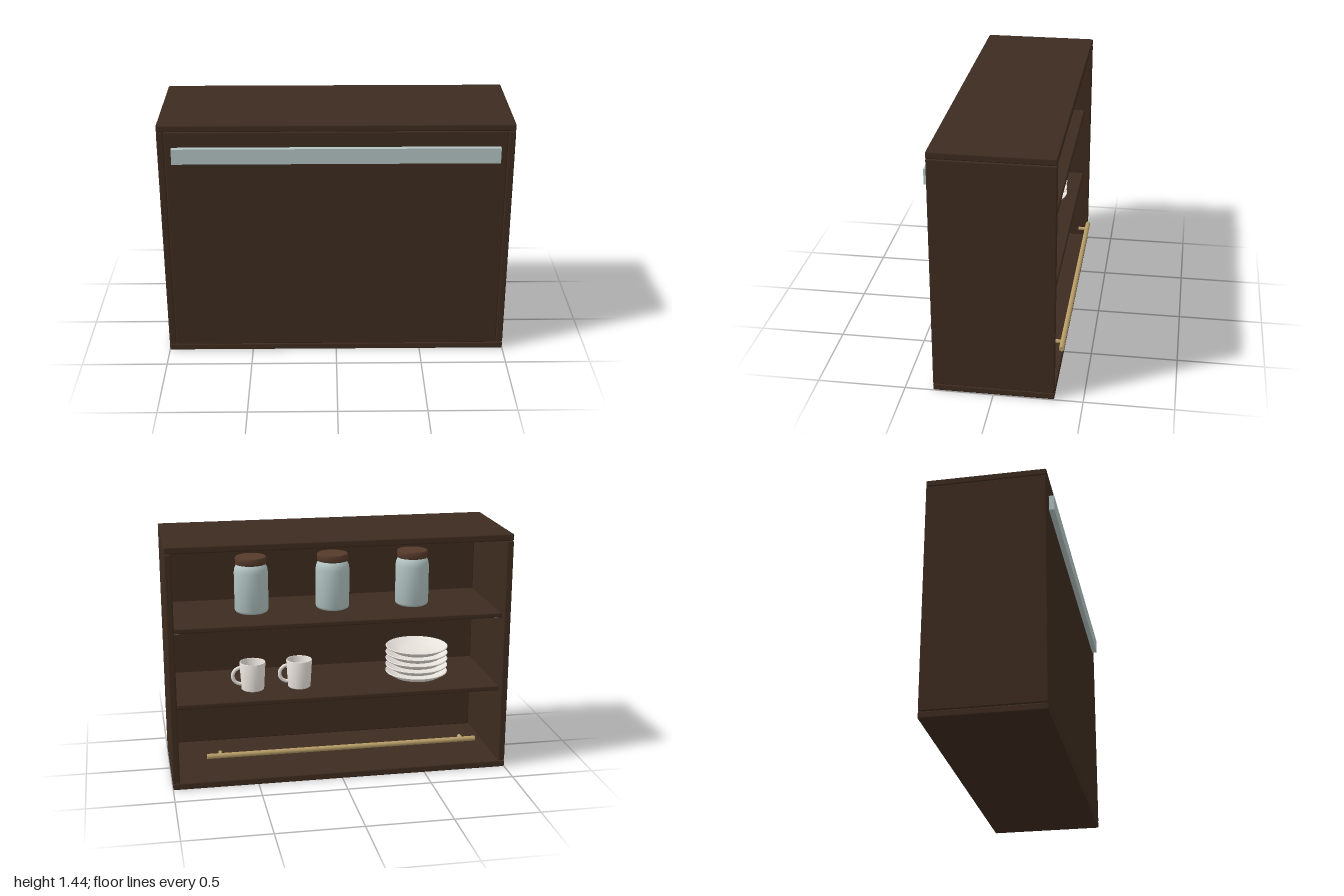
import * as THREE from 'three';
import { toCreasedNormals } from 'three/addons/utils/BufferGeometryUtils.js';
import { RoundedBoxGeometry } from 'three/addons/geometries/RoundedBoxGeometry.js';

const material = (name, color) => {
  const m = new THREE.MeshStandardMaterial({ color });
  m.name = name;
  return m;
};

export function createModel() {
  const wood = material('dark wood', 0x3d2b1f);
  const lidWood = material('lid wood', 0x553a2a);
  const glass = material('pale glass', 0xb2c4c2);
  const ceramic = material('white ceramic', 0xeae4de);
  const brass = material('brass', 0xb59c66);
  const steel = material('steel', 0xb8bcbc);

  const model = new THREE.Group();
  model.name = 'cabinet';

  const add = (parent, name, geometry, mat, x = 0, y = 0, z = 0) => {
    const mesh = new THREE.Mesh(geometry, mat);
    mesh.name = name;
    mesh.position.set(x, y, z);
    parent.add(mesh);
    return mesh;
  };
  const group = (name, x, y, z) => {
    const g = new THREE.Group();
    g.name = name;
    g.position.set(x, y, z);
    model.add(g);
    return g;
  };
  const board = (name, w, h, d, x, y, z) =>
    add(model, name, new RoundedBoxGeometry(w, h, d, 2, 0.008), wood, x, y, z);
  const lathe = (points, segments = 40) => toCreasedNormals(
    new THREE.LatheGeometry(points.map(([r, y]) => new THREE.Vector2(r, y)), segments), 0.7);

  // Carcass, closed at the front and open at the back
  board('bottomBoard', 2, 0.04, 0.68, 0, 0.02, 0);
  board('topBoard', 2, 0.04, 0.68, 0, 1.42, 0);
  board('frontPanel', 1.92, 1.36, 0.04, 0, 0.72, 0.32);
  for (const s of [-1, 1]) board('sideBoard', 0.04, 1.36, 0.68, s * 0.98, 0.72, 0);

  // Shelves resting on steel pins
  const shelfTops = [0.508, 0.962];
  for (const top of shelfTops) {
    board('shelf', 1.92, 0.03, 0.6, 0, top - 0.015, 0);
    for (const sx of [-1, 1]) for (const sz of [-1, 1]) {
      const pin = add(model, 'shelfPin', new THREE.CylinderGeometry(0.01, 0.01, 0.035, 12),
        steel, sx * 0.945, top - 0.04, sz * 0.23);
      pin.rotation.z = Math.PI / 2;
    }
  }

  // Pale strip across the front
  add(model, 'frontStrip', new THREE.BoxGeometry(1.84, 0.09, 0.03), glass, 0, 1.265, 0.355);

  // Brass rail with two standoffs
  const rail = group('rail', 0, 0.205, -0.355);
  add(rail, 'rod', new THREE.CylinderGeometry(0.015, 0.015, 1.6, 20), brass).rotation.z = Math.PI / 2;
  for (const s of [-1, 1]) {
    const post = add(rail, 'standoff', new THREE.CylinderGeometry(0.011, 0.011, 0.055, 16), brass, s * 0.72, 0, 0.0275);
    post.rotation.x = Math.PI / 2;
  }

  // Storage jars
  const jarShape = lathe([[0, 0], [0.085, 0], [0.095, 0.006], [0.1, 0.018], [0.1, 0.24],
    [0.097, 0.262], [0.089, 0.28], [0.08, 0.29], [0, 0.29]]);
  const lidShape = lathe([[0, 0], [0.09, 0], [0.092, 0.004], [0.092, 0.036], [0.088, 0.042], [0, 0.042]]);
  for (const x of [-0.485, 0, 0.485]) {
    const jar = group('jar', x, shelfTops[1], 0);
    add(jar, 'jarBody', jarShape, glass);
    add(jar, 'jarLid', lidShape, lidWood, 0, 0.29, 0);
  }

  // Mugs
  const mugShape = lathe([[0, 0], [0.062, 0], [0.067, 0.005], [0.077, 0.165], [0.075, 0.17],
    [0.071, 0.17], [0.069, 0.165], [0.06, 0.012], [0, 0.012]]);
  const handleShape = new THREE.TorusGeometry(0.05, 0.011, 10, 24, Math.PI);
  for (const x of [0.497, 0.218]) {
    const mug = group('mug', x, shelfTops[0], -0.09);
    add(mug, 'mugBody', mugShape, ceramic);
    add(mug, 'mugHandle', handleShape, ceramic, 0.068, 0.087, 0).rotation.z = -Math.PI / 2;
  }

  // Stack of deep plates
  const plateShape = lathe([[0, 0], [0.1, 0], [0.105, 0.006], [0.14, 0.014], [0.186, 0.042], [0.188, 0.047],
    [0.184, 0.05], [0.14, 0.024], [0.1, 0.014], [0, 0.012]], 48);
  const plates = group('plates', -0.51, shelfTops[0], -0.05);
  for (let i = 0; i < 5; i++) add(plates, 'plate', plateShape, ceramic, 0, i * 0.039, 0);

  return model;
}
